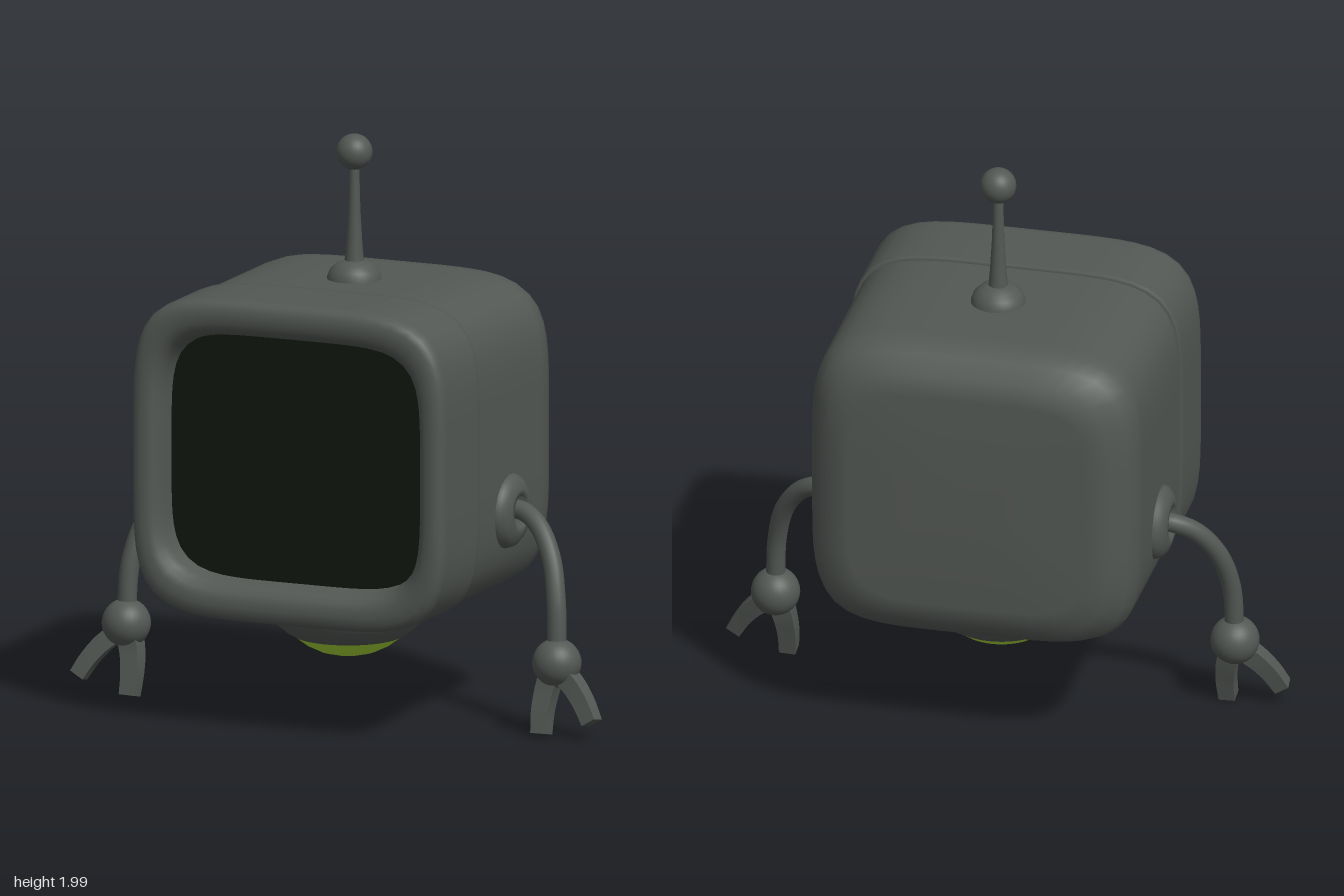
import * as THREE from 'three';

const grey = new THREE.MeshStandardMaterial({ color: 0x535854, side: THREE.DoubleSide });
const glass = new THREE.MeshStandardMaterial({ color: 0x10170e, side: THREE.DoubleSide });
const lime = new THREE.MeshStandardMaterial({ color: 0xaad838, side: THREE.DoubleSide });

const v = (x, y, z) => new THREE.Vector3(x, y, z);
const path = points => new THREE.CatmullRomCurve3(points.map(p => v(...p)));

function add(parent, name, geometry, material = grey, position = [0, 0, 0]) {
  const mesh = new THREE.Mesh(geometry, material);
  mesh.name = name;
  mesh.position.set(...position);
  parent.add(mesh);
  return mesh;
}

// Skin over soft-square rings [halfWidth, halfHeight, z], listed from back to front
function softLoft(rings, power = 5, n = 80) {
  const pos = [], index = [];
  rings.forEach(([w, h, z], i) => {
    for (let j = 0; j < n; j++) {
      const a = (j / n) * Math.PI * 2, c = Math.cos(a), s = Math.sin(a);
      const r = Math.pow(Math.abs(c) ** power + Math.abs(s) ** power, -1 / power);
      pos.push(c * r * w, s * r * h, z);
      if (i === rings.length - 1) continue;
      const k = (j + 1) % n, A = i * n + j, B = i * n + k;
      index.push(A, B, B + n, A, B + n, A + n);
    }
  });
  const g = new THREE.BufferGeometry();
  g.setAttribute('position', new THREE.Float32BufferAttribute(pos, 3));
  g.setIndex(index);
  g.computeVertexNormals();
  return g;
}

const lathe = (pts, n = 40) =>
  new THREE.LatheGeometry(pts.map(([x, y]) => new THREE.Vector2(x, y)), n);

// Square bar bent along a curve and tapering towards its tip
function bentBar(points, startWidth, endWidth) {
  const curve = path(points);
  const g = new THREE.BoxGeometry(1, 1, 1, 1, 12, 1);
  const p = g.attributes.position;
  for (let i = 0; i < p.count; i++) {
    const t = p.getY(i) + 0.5;
    const width = THREE.MathUtils.lerp(startWidth, endWidth, t);
    const tangent = curve.getTangent(t);
    const across = v().crossVectors(tangent, v(0, 0, 1)).normalize();
    const depth = v().crossVectors(across, tangent);
    const q = curve.getPoint(t)
      .addScaledVector(across, p.getX(i) * width)
      .addScaledVector(depth, p.getZ(i) * width);
    p.setXYZ(i, q.x, q.y, q.z);
  }
  g.computeVertexNormals();
  return g;
}

function createArm(side) {
  const arm = new THREE.Group();
  arm.name = side > 0 ? 'leftArm' : 'rightArm';

  // Domed shoulder socket with a dished centre
  const socket = add(arm, 'shoulderSocket', lathe([
    [0.13, -0.05], [0.13, -0.005], [0.122, 0.018], [0.102, 0.035], [0.075, 0.045], [0.057, 0.044], [0.048, 0.025], [0, 0.02],
  ]), grey, [0.568, 0.737, -0.072]);
  socket.rotation.z = -Math.PI / 2;

  // Bent arm, wrist ball and two fingers
  add(arm, 'armRod', new THREE.TubeGeometry(path([
    [0.56, 0.745, -0.08], [0.62, 0.738, -0.075], [0.69, 0.698, -0.045],
    [0.757, 0.6, 0], [0.793, 0.46, 0.04], [0.802, 0.27, 0.055],
  ]), 32, 0.033, 16));
  add(arm, 'wristBall', new THREE.SphereGeometry(0.084, 28, 20), grey, [0.802, 0.253, 0.055]);
  add(arm, 'outerFinger', bentBar([
    [0.81, 0.235, 0.055], [0.875, 0.182, 0.075], [0.92, 0.128, 0.092], [0.956, 0.068, 0.108],
  ], 0.066, 0.054));
  add(arm, 'innerFinger', bentBar([
    [0.792, 0.235, 0.058], [0.773, 0.16, 0.07], [0.765, 0.09, 0.088], [0.767, 0.013, 0.106],
  ], 0.072, 0.057));

  // Mirror for the other side
  arm.scale.x = side;
  return arm;
}

export function createModel() {
  const model = new THREE.Group();
  model.name = 'robot';

  // Rear casing with a broad three-step back edge
  add(model, 'rearCasing', softLoft([
    [0, 0, -0.52], [0.415, 0.392, -0.52], [0.492, 0.468, -0.5], [0.546, 0.522, -0.45],
    [0.57, 0.546, -0.385], [0.573, 0.549, -0.33], [0.573, 0.549, 0.25],
  ]), grey, [0, 0.95, 0]);

  // Front frame: narrow seam lip, straight wall, flat rim falling steeply to the screen
  const frame = [
    [0.04, 0.2], [0.006, 0.2], [0, 0.206], [0, 0.22], [0, 0.47], [0.002, 0.49], [0.01, 0.508], [0.024, 0.518],
    [0.042, 0.521], [0.062, 0.519], [0.08, 0.51], [0.094, 0.49], [0.102, 0.46], [0.107, 0.395],
  ].map(([d, z]) => [0.582 - d, 0.558 - d * 1.24, z]);
  add(model, 'screenFrame', softLoft(frame), grey, [0, 0.951, 0]);

  // Flat recessed screen
  add(model, 'screen', softLoft([[0.478, 0.428, 0.405], [0, 0, 0.41]]), glass, [0, 0.951, 0]);

  // Bowl and glowing lens underneath
  add(model, 'thrusterBowl', lathe([
    [0.187, 0.272], [0.217, 0.29], [0.252, 0.321], [0.277, 0.358], [0.287, 0.396], [0.287, 0.44],
  ], 48));
  add(model, 'thrusterLens', lathe([
    [0, 0.203], [0.05, 0.206], [0.1, 0.219], [0.145, 0.241], [0.187, 0.272],
  ], 48), lime);

  // Antenna
  const antenna = new THREE.Group();
  antenna.name = 'antenna';
  antenna.position.z = -0.05;
  add(antenna, 'antennaBase', lathe([
    [0.094, 1.48], [0.093, 1.505], [0.083, 1.53], [0.063, 1.55], [0.036, 1.562], [0, 1.565],
  ], 32));
  add(antenna, 'antennaRod', lathe([[0.034, 1.55], [0.028, 1.62], [0.021, 1.74], [0.017, 1.9]], 20));
  add(antenna, 'antennaBall', new THREE.SphereGeometry(0.062, 28, 20), grey, [0, 1.938, 0]);
  model.add(antenna);

  model.add(createArm(1), createArm(-1));
  return model;
}
